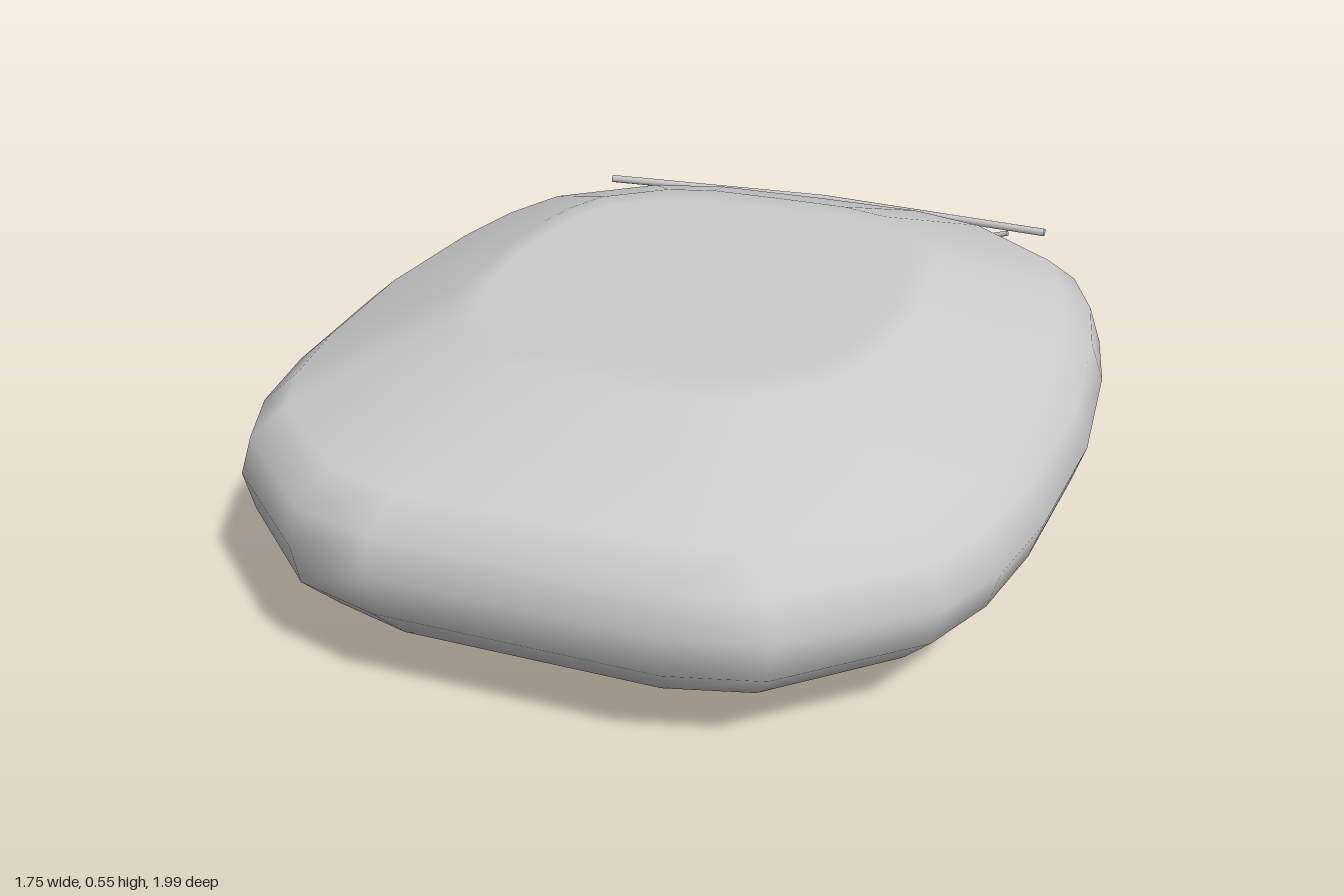
import * as THREE from 'three';

const material = new THREE.MeshStandardMaterial({ color: 0xcccccc, side: THREE.DoubleSide });

// Half of the plan outline (x, z) from the front centre round to the back centre
const HALF = [
  [0, 0.99], [0.3, 0.99], [0.49, 0.94], [0.74, 0.72], [0.81, 0.56], [0.85, 0.35],
  [0.875, 0], [0.85, -0.35], [0.81, -0.56], [0.74, -0.73], [0.5, -0.92], [0.3, -0.975], [0, -0.98],
];

// Horizontal layers: height, x scale, z scale
const LAYERS = [
  [0, 0.57, 0.56], [0.122, 0.885, 0.925], [0.2, 0.97, 0.995], [0.28, 1, 1],
  [0.365, 0.965, 0.99], [0.425, 0.885, 0.92], [0.54, 0.56, 0.57], [0.545, 0.5, 0.48],
];

// Cushion-shaped shell: scaled outlines stacked and closed with flat caps
function createBody() {
  const mirrored = HALF.slice(1, -1).reverse().map(([x, z]) => [-x, z]);
  const outline = [...HALF, ...mirrored];
  const n = outline.length;
  const positions = [];
  const index = [];
  for (const [y, sx, sz] of LAYERS) {
    for (const [x, z] of outline) positions.push(x * sx, y, z * sz);
  }
  for (let l = 0; l < LAYERS.length - 1; l++) {
    for (let i = 0; i < n; i++) {
      const a = l * n + i, b = l * n + (i + 1) % n;
      index.push(a, b, b + n, a, b + n, a + n);
    }
  }
  const bottom = positions.length / 3;
  positions.push(0, 0, 0, 0, 0.545, 0);
  const top = (LAYERS.length - 1) * n;
  for (let i = 0; i < n; i++) {
    const j = (i + 1) % n;
    index.push(bottom, j, i, bottom + 1, top + i, top + j);
  }
  const geometry = new THREE.BufferGeometry();
  geometry.setAttribute('position', new THREE.Float32BufferAttribute(positions, 3));
  geometry.setIndex(index);
  geometry.computeVertexNormals();
  const mesh = new THREE.Mesh(geometry, material);
  mesh.name = 'body';
  return mesh;
}

// Thin straight rods joining a list of points
function createRods(name, points, radius) {
  const group = new THREE.Group();
  group.name = name;
  const up = new THREE.Vector3(0, 1, 0);
  for (let i = 0; i < points.length - 1; i++) {
    const a = new THREE.Vector3(...points[i]);
    const b = new THREE.Vector3(...points[i + 1]);
    const direction = b.clone().sub(a);
    const rod = new THREE.Mesh(
      new THREE.CylinderGeometry(radius, radius, direction.length(), 8), material);
    rod.name = name + 'Segment';
    rod.position.copy(a).add(b).multiplyScalar(0.5);
    rod.quaternion.setFromUnitVectors(up, direction.normalize());
    group.add(rod);
  }
  return group;
}

export function createModel() {
  const model = new THREE.Group();
  model.name = 'model';
  model.add(createBody());

  // Two bent bars across the back
  for (const [name, y] of [['upperBar', 0.4], ['lowerBar', 0.148]]) {
    model.add(createRods(name, [[-0.6, y, -0.92], [0, y, -0.968], [0.6, y, -0.92]], 0.01));
  }

  // V-shaped trims on the back, opening outwards
  for (const [name, s] of [['leftChevron', 1], ['rightChevron', -1]]) {
    model.add(createRods(name,
      [[s * 0.495, 0.363, -0.98], [s * 0.295, 0.295, -0.993], [s * 0.495, 0.222, -0.98]], 0.007));
  }
  return model;
}
